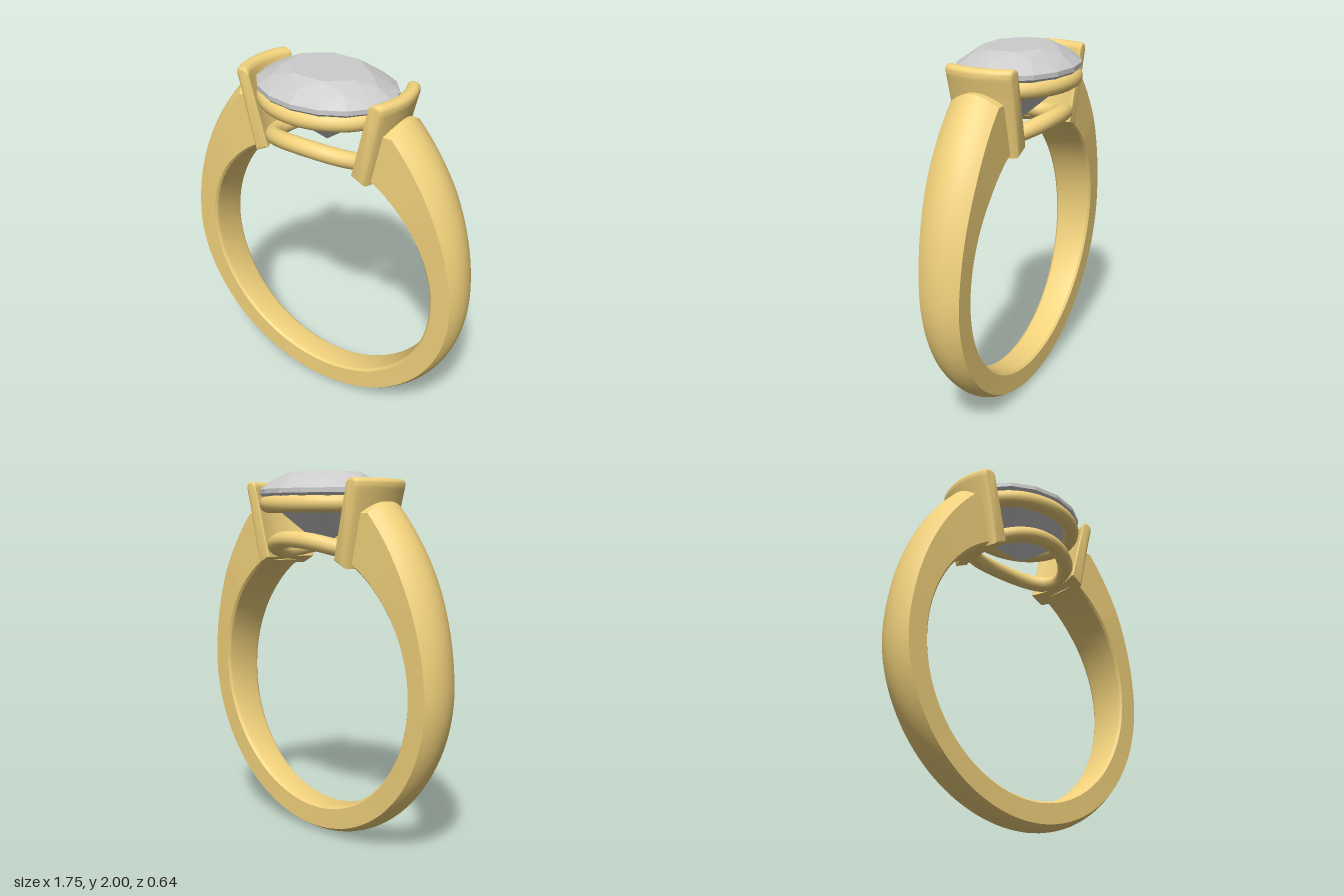
import * as THREE from 'three';
import { toCreasedNormals } from 'three/addons/utils/BufferGeometryUtils.js';
import { ConvexGeometry } from 'three/addons/geometries/ConvexGeometry.js';

const CENTRE = 0.88; // height of the finger hole's centre
const HOLE = 0.72;   // radius of the finger hole
const gold = new THREE.MeshStandardMaterial({ color: 0xf2d27c });
const grey = new THREE.MeshStandardMaterial({ color: 0xcccccc, flatShading: true });

function named(name, geometry, material = gold) {
  const mesh = new THREE.Mesh(geometry, material);
  mesh.name = name;
  return mesh;
}

// Cross-section of the band as [radius, z], running over the dome and back along the hole
function bandSection(angle) {
  const s = Math.max(0, angle) / THREE.MathUtils.degToRad(62.5);
  const outer = 0.875 + 0.207 * Math.pow(s, 1.95);
  const sag = 0.03 + 0.035 * s;
  const y = CENTRE + outer * Math.sin(angle);
  const w = 0.081 + 0.055 * Math.min(1, y / 1.5);
  const pts = [[HOLE + 0.015, w]];
  for (let k = 0; k <= 12; k++) {
    const q = 1 - k / 6;
    pts.push([outer - sag * q * q, w * q]);
  }
  pts.push([HOLE + 0.015, -w], [HOLE + 0.004, 0.012 - w], [HOLE, 0.03 - w]);
  pts.push([HOLE, w - 0.03], [HOLE + 0.004, w - 0.012]);
  return pts;
}

// Open band that widens and thickens towards the shoulders
function bandGeometry() {
  const N = 120, rings = [];
  for (let i = 0; i <= N; i++) {
    const t = (2 * i) / N - 1;
    const a = THREE.MathUtils.degToRad(-90 + 152.5 * Math.abs(t));
    const side = t < 0 ? -1 : 1;
    rings.push(bandSection(a).map(([r, z]) => [side * r * Math.cos(a), CENTRE + r * Math.sin(a), z]));
  }
  // Level shoulder tops reaching in to the slanted bars
  const toBar = (ring, side) => ring.map(([, y, z]) => [side * (0.325 + 0.28 * (y - 1.5)), y, z]);
  rings.unshift(toBar(rings[0], -1));
  rings.push(toBar(rings[rings.length - 1], 1));

  const M = rings[0].length, last = rings.length - 1, index = [];
  const pos = rings.flat(2);
  for (let i = 0; i < last; i++) {
    for (let j = 0; j < M; j++) {
      const a = i * M + j, b = i * M + (j + 1) % M;
      index.push(a, b, a + M, b, b + M, a + M);
    }
  }
  // End caps
  for (const [i, flip] of [[0, true], [last, false]]) {
    const c = pos.length / 3;
    const mid = [0, 1, 2].map(k => rings[i].reduce((sum, p) => sum + p[k], 0) / M);
    pos.push(...mid);
    for (let j = 0; j < M; j++) {
      const a = i * M + j, b = i * M + (j + 1) % M;
      index.push(c, flip ? b : a, flip ? a : b);
    }
  }
  const g = new THREE.BufferGeometry();
  g.setAttribute('position', new THREE.Float32BufferAttribute(pos, 3));
  g.setIndex(index);
  return toCreasedNormals(g, 0.45);
}

// Slanted bar with a rounded lip, bowed to wrap the end of the stone
function barGeometry() {
  const s = new THREE.Shape();
  s.moveTo(0.38, 1.5);
  s.lineTo(0.452, 1.81);
  s.quadraticCurveTo(0.462, 1.85, 0.478, 1.91);
  s.quadraticCurveTo(0.487, 1.955, 0.45, 1.957);
  s.quadraticCurveTo(0.405, 1.96, 0.4, 1.915);
  s.lineTo(0.3, 1.54);
  s.closePath();
  const bevel = 0.015;
  const g = new THREE.ExtrudeGeometry(s, {
    depth: 0.345, steps: 16, curveSegments: 8,
    bevelSize: bevel, bevelThickness: bevel, bevelOffset: -bevel, bevelSegments: 3,
  });
  g.translate(0, 0, -0.1725);
  const p = g.attributes.position;
  for (let i = 0; i < p.count; i++) {
    const z = p.getZ(i) * (0.93 + 0.07 * (p.getY(i) - 1.5) / 0.45);
    p.setX(i, p.getX(i) - 1.3 * z * z);
    p.setZ(i, z);
  }
  return toCreasedNormals(g, 0.6);
}

// Oval wire; height is a rule of x
class Oval extends THREE.Curve {
  constructor(rx, rz, height) {
    super();
    Object.assign(this, { rx, rz, height });
  }
  getPoint(t, target = new THREE.Vector3()) {
    const a = t * Math.PI * 2, x = this.rx * Math.cos(a);
    return target.set(x, this.height(x), this.rz * Math.sin(a));
  }
}
const wire = (rx, rz, height, thickness) =>
  new THREE.TubeGeometry(new Oval(rx, rz, height), 96, thickness, 16, true);

// Oval brilliant cut: table, crown, girdle, pavilion and culet
function stoneGeometry() {
  const pts = [];
  const tier = (count, turn, scale, y) => {
    for (let i = 0; i < count; i++) {
      const a = ((i + turn) / count) * Math.PI * 2;
      pts.push(new THREE.Vector3(0.388 * scale * Math.cos(a), y, 0.314 * scale * Math.sin(a)));
    }
  };
  tier(8, 0.5, 0.58, 2.0);
  tier(8, 0, 0.78, 1.964);
  tier(16, 0, 1, 1.91);
  tier(16, 0, 1, 1.886);
  tier(8, 0.5, 0.45, 1.718);
  pts.push(new THREE.Vector3(0, 1.6, 0));
  return new ConvexGeometry(pts);
}

export function createModel() {
  const ring = new THREE.Group();
  ring.name = 'ring';
  ring.add(named('band', bandGeometry()));

  const bar = barGeometry();
  const leftBar = named('leftBar', bar);
  const rightBar = named('rightBar', bar);
  rightBar.rotation.y = Math.PI;
  ring.add(leftBar, rightBar);

  // Level gallery under the girdle, and a base wire arched over the finger hole
  ring.add(named('upperGallery', wire(0.335, 0.272, () => 1.832, 0.048)));
  ring.add(named('lowerGallery', wire(0.31, 0.22, x => CENTRE + Math.sqrt(0.765 ** 2 - x * x), 0.045)));

  ring.add(named('stone', stoneGeometry(), grey));
  return ring;
}
